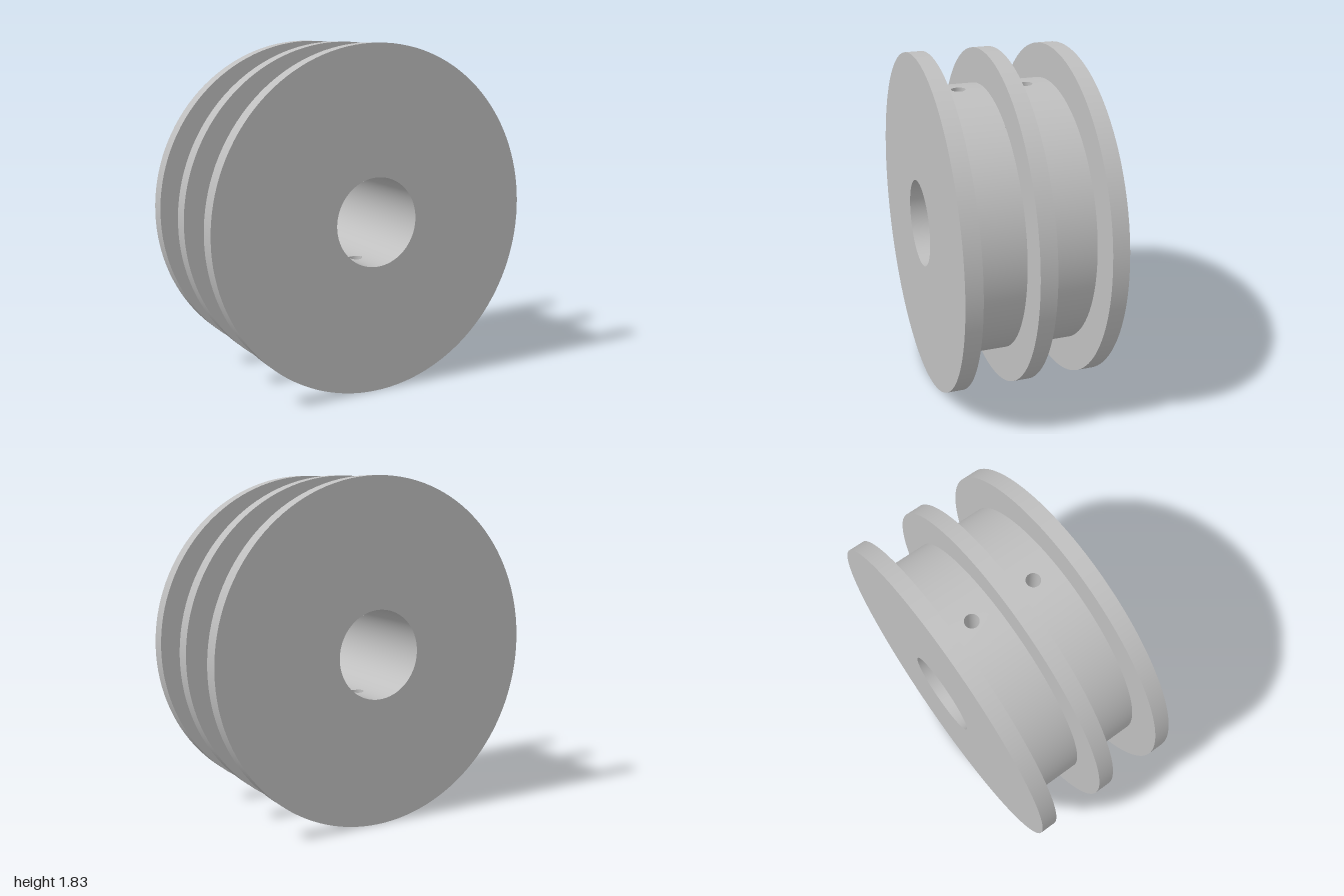
import * as THREE from 'three';

const R = 0.917, HUB = 0.73, BORE = 0.236, HOLE = 0.038; // radii
const T = 0.088, GAP = 0.366, HALF = GAP + T / 2;         // flange thickness, spacing, half length
const HOLE_X = GAP / 2, PATCH = 0.12;                     // hole position, half width of drilled strips

// Surface made of closed loops: point(i, j) and normal(p, i) give the vertices
function loops(n, m, point, normal) {
  const pos = [], nor = [], idx = [];
  for (let j = 0; j <= m; j++) {
    for (let i = 0; i < n; i++) {
      const p = point(i, j / m);
      pos.push(...p);
      nor.push(...normal(p, i));
      if (j === m) continue;
      const k = (i + 1) % n, a = j * n + i, b = j * n + k;
      idx.push(a, b, a + n, b, b + n, a + n);
    }
  }
  const g = new THREE.BufferGeometry();
  g.setAttribute('position', new THREE.Float32BufferAttribute(pos, 3));
  g.setAttribute('normal', new THREE.Float32BufferAttribute(nor, 3));
  g.setIndex(idx);
  return g;
}

const heightAt = (r, z) => Math.sqrt(r * r - z * z);

// Strip of a cylinder wall, from x0 to x1, pierced by the round hole
function drilledPatch(r, x0, x1) {
  const side = 16, corners = [[x1, -PATCH], [x1, PATCH], [x0, PATCH], [x0, -PATCH]];
  const point = (i, v) => {
    const s = Math.floor(i / side), t = (i % side) / side;
    const a = corners[s], b = corners[(s + 1) % 4];
    const dx = a[0] + (b[0] - a[0]) * t - HOLE_X, dz = a[1] + (b[1] - a[1]) * t;
    const len = Math.hypot(dx, dz), k = (HOLE + (len - HOLE) * v) / len;
    return [HOLE_X + dx * k, heightAt(r, dz * k), dz * k];
  };
  return loops(side * 4, 6, point, p => [0, p[1] / r, p[2] / r]);
}

// Wall of the hole from the bore out to the hub
function holeWall() {
  const n = 48, ang = i => (i / n) * Math.PI * 2;
  return loops(n, 1, (i, v) => {
    const z = HOLE * Math.sin(ang(i));
    return [HOLE_X + HOLE * Math.cos(ang(i)), heightAt(v ? HUB : BORE, z), z];
  }, (p, i) => [-Math.cos(ang(i)), 0, -Math.sin(ang(i))]);
}

// Open cylinder wall along x
function wall(r, length, start = 0, sweep = Math.PI * 2, segments = 128) {
  return new THREE.CylinderGeometry(r, r, length, segments, 1, true, start, sweep).rotateZ(-Math.PI / 2);
}

export function createModel() {
  const metal = new THREE.MeshStandardMaterial({ color: 0xbfbfbf, side: THREE.DoubleSide });
  metal.name = 'grey metal';
  const model = new THREE.Group();
  model.name = 'doubleGrooveSpool';
  const add = (name, geometry, x = 0) => {
    const mesh = new THREE.Mesh(geometry, metal);
    mesh.name = name;
    mesh.position.x = x;
    model.add(mesh);
    return mesh;
  };

  // Three flanges; the outer faces reach in to the bore
  for (const k of [-1, 0, 1]) {
    add('flangeRim', wall(R, T), k * GAP);
    for (const s of [-1, 1]) {
      const inner = k === s ? BORE : HUB;
      add('flangeFace', new THREE.RingGeometry(inner, R, 128).rotateY(s * Math.PI / 2), k * GAP + s * T / 2);
    }
  }

  // Curved sides of the hub and bore, leaving strips at top and bottom for the holes
  for (const half of [0, 1]) {
    const arc = (r, length) => {
      const a = Math.asin(PATCH / r);
      return wall(r, length, -Math.PI / 2 + a + half * Math.PI, Math.PI - 2 * a, 64);
    };
    for (const s of [-1, 1]) add('hubSide', arc(HUB, GAP - T), s * HOLE_X);
    add('boreSide', arc(BORE, 2 * HALF));
  }

  // Drilled strips and hole walls, repeated for both grooves, top and bottom
  const drilled = [
    ['hubDrilledStrip', drilledPatch(HUB, T / 2, GAP - T / 2)],
    ['boreDrilledStrip', drilledPatch(BORE, 0, HALF)],
    ['holeWall', holeWall()],
  ];
  for (const flip of [0, Math.PI]) {
    for (const turn of [0, Math.PI]) {
      for (const [name, geometry] of drilled) add(name, geometry).rotation.set(flip, turn, 0);
    }
  }

  // The axle line is turned 30 degrees from x towards the front
  model.rotation.y = -Math.PI / 6;
  model.position.y = R;
  const root = new THREE.Group();
  root.name = 'spool';
  root.add(model);
  return root;
}
